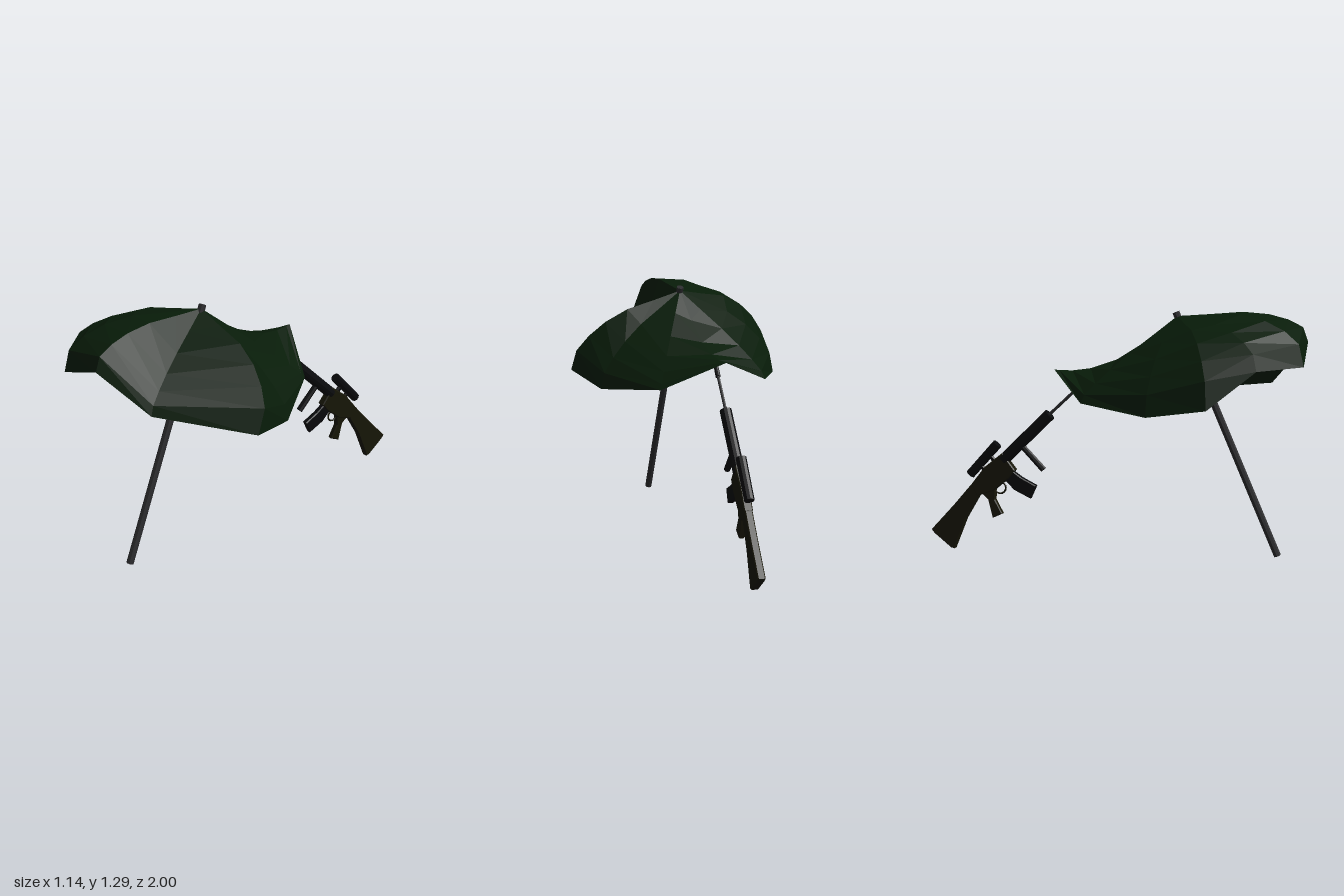
import * as THREE from 'three';

const mat = (color, extra = {}) => new THREE.MeshStandardMaterial({ color, flatShading: true, ...extra });
const GUN_X = -0.103;

function add(group, name, geometry, material) {
  const mesh = new THREE.Mesh(geometry, material);
  mesh.name = name;
  group.add(mesh);
  return mesh;
}

// Cylinder running from point a to point b
function rod(group, name, a, b, ra, rb, sides, material) {
  const from = new THREE.Vector3(...a), to = new THREE.Vector3(...b);
  const dir = to.clone().sub(from);
  const mesh = add(group, name, new THREE.CylinderGeometry(rb, ra, dir.length(), sides), material);
  mesh.position.copy(from).add(to).multiplyScalar(0.5);
  mesh.quaternion.setFromUnitVectors(new THREE.Vector3(0, 1, 0), dir.normalize());
}

// Side profile in (z, y), extruded across x and centred on the rifle
function plate(group, name, points, width, material) {
  const shape = new THREE.Shape(points.map(([z, y]) => new THREE.Vector2(z, y)));
  const bevel = 0.005;
  const geo = new THREE.ExtrudeGeometry(shape, {
    depth: width - 2 * bevel, bevelEnabled: true, bevelSize: bevel,
    bevelOffset: -bevel, bevelThickness: bevel, bevelSegments: 1,
  });
  geo.translate(0, 0, bevel - width / 2).rotateY(-Math.PI / 2).translate(GUN_X, 0, 0);
  add(group, name, geo, material);
}

// Dented canopy: ribs from the apex to uneven rim points, each with its own bulge
function canopyGeometry() {
  const apex = [-0.02, 1.265, 0.33];
  const ribs = [ // rim x, y, z, bulge, sideways bend in z
    [-0.115, 0.985, -0.30, -0.09, 0],
    [-0.38, 0.845, -0.085, 0.035, 0],
    [-0.535, 0.805, 0.28, 0.13, 0],
    [-0.57, 0.85, 0.58, 0.18, 0],
    [-0.46, 1.03, 0.80, 0.105, 0],
    [-0.22, 1.035, 0.998, 0.15, 0],
    [0.07, 1.14, 0.988, 0.10, 0],
    [0.22, 0.91, 0.79, 0.05, 0],
    [0.567, 0.84, 0.42, 0.145, -0.075],
    [0.447, 0.783, 0.15, 0.095, 0],
    [0.193, 0.83, -0.16, 0.015, 0],
  ];
  // distance along the rib, share of the bulge
  const rings = [[0.25, 0.42], [0.5, 0.86], [0.7, 1], [0.85, 0.92], [0.96, 0.68], [1, 0]];
  const pos = [...apex], idx = [], n = ribs.length;
  for (const [t, f] of rings) {
    for (const [x, y, z, bulge, bend] of ribs) {
      const share = bulge < 0 ? 4 * t * (1 - t) : f; // dents are deepest halfway
      pos.push(
        apex[0] + (x - apex[0]) * t,
        apex[1] + (y - apex[1]) * t + bulge * share,
        apex[2] + (z - apex[2]) * t + bend * share,
      );
    }
  }
  for (let i = 0; i < n; i++) {
    const j = (i + 1) % n;
    idx.push(0, 1 + i, 1 + j);
    for (let r = 0; r < rings.length - 1; r++) {
      const a = 1 + r * n + i, b = 1 + r * n + j;
      idx.push(a, a + n, b + n, a, b + n, b);
    }
  }
  const geo = new THREE.BufferGeometry();
  geo.setAttribute('position', new THREE.Float32BufferAttribute(pos, 3));
  geo.setIndex(idx);
  geo.computeVertexNormals();
  return geo;
}

export function createModel() {
  const model = new THREE.Group();
  const green = mat(0x081c09, { side: THREE.DoubleSide });
  const grey = mat(0x2b2b2d);
  const black = mat(0x08090b);
  const olive = mat(0x171607);

  // Umbrella
  const umbrella = new THREE.Group();
  umbrella.name = 'umbrella';
  model.add(umbrella);
  add(umbrella, 'canopy', canopyGeometry(), green);
  rod(umbrella, 'pole', [0.057, 0.022, 0.855], [-0.02, 1.285, 0.322], 0.019, 0.019, 8, grey);

  // Rifle propped beneath the canopy, muzzle up
  const rifle = new THREE.Group();
  rifle.name = 'rifle';
  model.add(rifle);
  const at = (z, y) => [GUN_X, y, z];
  rod(rifle, 'flashHider', at(-0.178, 0.89), at(-0.13, 0.937), 0.013, 0.012, 10, black);
  rod(rifle, 'barrel', at(-0.345, 0.735), at(-0.165, 0.902), 0.008, 0.008, 8, grey);
  rod(rifle, 'handguard', at(-0.59, 0.495), at(-0.33, 0.747), 0.031, 0.031, 12, black);
  rod(rifle, 'foregrip', at(-0.49, 0.58), at(-0.367, 0.452), 0.016, 0.017, 8, black);

  plate(rifle, 'receiver', [[-0.52, 0.445], [-0.59, 0.535], [-0.69, 0.455], [-0.765, 0.36],
    [-0.735, 0.295], [-0.64, 0.33], [-0.555, 0.4]], 0.045, olive);
  plate(rifle, 'stock', [[-0.73, 0.39], [-0.77, 0.355], [-0.87, 0.24], [-1, 0.1], [-0.985, 0.08],
    [-0.89, 0.005], [-0.87, 0], [-0.8, 0.17], [-0.72, 0.305]], 0.039, olive);
  plate(rifle, 'pistolGrip', [[-0.63, 0.36], [-0.635, 0.28], [-0.595, 0.205], [-0.65, 0.18],
    [-0.675, 0.28], [-0.71, 0.31]], 0.032, olive);
  plate(rifle, 'magazine', [[-0.405, 0.365], [-0.437, 0.295], [-0.528, 0.338], [-0.58, 0.39],
    [-0.55, 0.45], [-0.485, 0.405]], 0.032, black);

  const guard = add(rifle, 'triggerGuard', new THREE.TorusGeometry(0.032, 0.005, 6, 16), olive);
  guard.rotation.y = Math.PI / 2;
  guard.position.set(GUN_X, 0.345, -0.61);

  // Scope on two mounts
  rod(rifle, 'scope', at(-0.777, 0.41), at(-0.622, 0.58), 0.025, 0.026, 10, black);
  for (const [z, y] of [[-0.67, 0.52], [-0.72, 0.463]]) {
    rod(rifle, 'scopeMount', at(z + 0.045, y - 0.045), at(z, y), 0.013, 0.013, 6, black);
  }
  return model;
}
